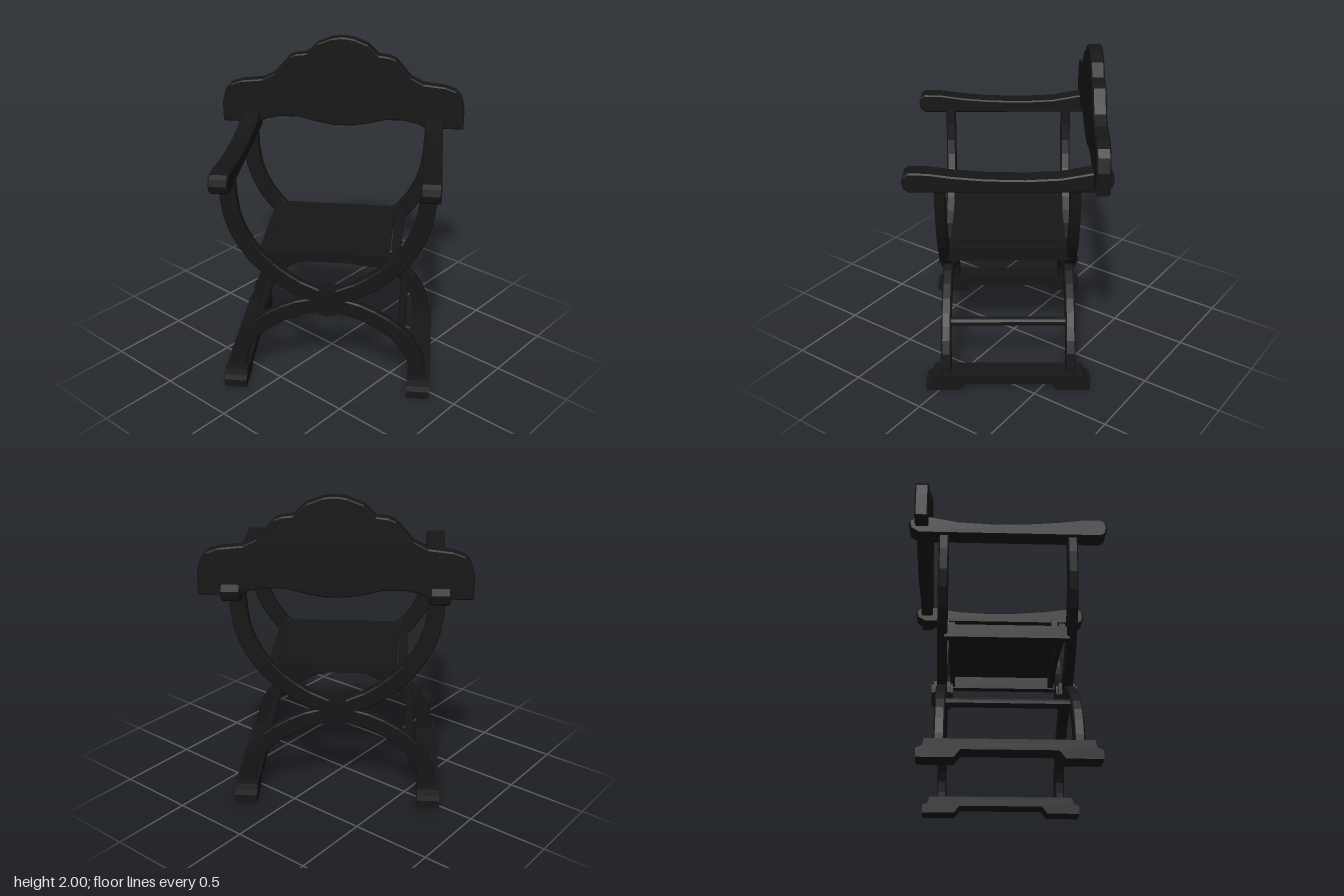
import * as THREE from 'three';

const mat = new THREE.MeshStandardMaterial({ color: 0x161616, flatShading: true });
const V2 = (p) => new THREE.Vector2(p[0], p[1]);

// Extrude an outline, centred through its thickness
function slab(points, depth, bevel = 0) {
  const g = new THREE.ExtrudeGeometry(new THREE.Shape(points.map(V2)), {
    depth: depth - 2 * bevel, bevelEnabled: bevel > 0,
    bevelSize: bevel, bevelOffset: -bevel, bevelThickness: bevel, bevelSegments: 1,
  });
  g.translate(0, 0, -depth / 2 + bevel);
  return g;
}

// Curved strip of given width that follows a centre line
function strip(points, width, steps) {
  const curve = new THREE.SplineCurve(points.map(V2));
  const a = [], b = [];
  for (let i = 0; i <= steps; i++) {
    const t = i / steps, p = curve.getPoint(t), d = curve.getTangent(t);
    const w = (width / 2) * (t > 0.9 ? 0.8 : 1);
    a.push([p.x - d.y * w, p.y + d.x * w]);
    b.unshift([p.x + d.y * w, p.y - d.x * w]);
  }
  return [...a, ...b];
}

// Mirror an outline half (from outer edge to the middle) across x = 0
const mirror = (half) => [...half, ...half.map(([x, y]) => [-x, y]).reverse()];

export function createModel() {
  const chair = new THREE.Group();
  chair.name = 'chair';
  const add = (name, geo, x = 0, y = 0, z = 0, parent = chair) => {
    const m = new THREE.Mesh(geo, mat);
    m.name = name;
    m.position.set(x, y, z);
    parent.add(m);
    return m;
  };

  // Crossed frames: upper and lower curved legs meeting at a round hub
  const upper = [[0.588, 1.39], [0.575, 1.2], [0.525, 1.04], [0.43, 0.89], [0.3, 0.77], [0.16, 0.68], [0.03, 0.635]];
  const lower = [[0.568, 0.08], [0.55, 0.22], [0.477, 0.35], [0.355, 0.46], [0.18, 0.55], [0.03, 0.585]];
  for (const end of [1, -1]) {
    const frame = new THREE.Group();
    frame.name = end > 0 ? 'frontFrame' : 'backFrame';
    frame.position.z = end * 0.382;
    chair.add(frame);
    for (const side of [1, -1]) {
      for (const [name, path] of [['upperLeg', upper], ['lowerLeg', lower]]) {
        const leg = add(name, slab(strip(path, 0.1, 10), 0.06, 0.008), 0, 0, 0, frame);
        leg.rotation.y = side > 0 ? 0 : Math.PI;
      }
    }
    add('hub', new THREE.CylinderGeometry(0.092, 0.092, 0.1, 14).rotateX(Math.PI / 2), 0, 0.61, 0, frame);
    add('hubBoss', new THREE.CylinderGeometry(0.07, 0.07, 0.13, 14).rotateX(Math.PI / 2), 0, 0.61, 0, frame);
  }

  // Foot outline: stepped ends and a recess underneath
  const foot = mirror([[0.505, 0], [0.505, 0.05], [0.47, 0.065], [0.46, 0.105]]);
  foot.push([-0.3, 0], [-0.265, 0.045], [0.265, 0.045], [0.3, 0]);

  // Armrest outline (z, y): rounded front, dipped top, upswept back
  const arm = [
    [-0.53, 1.37], [0.55, 1.37], [0.578, 1.39], [0.588, 1.43], [0.578, 1.47], [0.55, 1.488],
    [0.44, 1.485], [0.3, 1.465], [0.12, 1.45], [-0.1, 1.445], [-0.3, 1.455], [-0.46, 1.485],
    [-0.55, 1.485], [-0.592, 1.45], [-0.58, 1.4],
  ];

  for (const side of [1, -1]) {
    add('foot', slab(foot, 0.14).rotateY(-Math.PI / 2), side * 0.573);
    add('armrest', slab(arm, 0.116, 0.008).rotateY(-Math.PI / 2), side * 0.598);
    add('stretcher', new THREE.CylinderGeometry(0.027, 0.027, 0.74, 10).rotateX(Math.PI / 2), side * 0.452, 0.382, 0);
    add('seatRail', new THREE.BoxGeometry(0.055, 0.08, 0.74), side * 0.402, 0.845, 0);
  }

  // Seat panel with arched aprons at the front and back
  add('seat', new THREE.BoxGeometry(0.73, 0.03, 0.69), 0, 0.895, 0);
  const apron = mirror([[0.43, 0.805], [0.43, 0.9], [0, 0.9]]).filter((p, i) => i !== 3);
  apron.push([-0.28, 0.825], [-0.12, 0.845], [0.12, 0.845], [0.28, 0.825]);
  for (const end of [1, -1]) add('seatApron', slab(apron, 0.035), 0, 0, end * 0.325);

  // Backrest board with a stepped crest and a scalloped lower edge
  const crest = [
    [0.787, 1.415], [0.787, 1.55], [0.765, 1.63], [0.73, 1.67], [0.66, 1.695], [0.52, 1.71],
    [0.44, 1.75], [0.38, 1.82], [0.34, 1.865], [0.3, 1.882], [0.23, 1.89], [0.16, 1.957], [0.07, 1.992], [0.02, 2],
  ];
  const scallop = [[0.54, 1.415], [0.5, 1.44], [0.4, 1.462], [0.28, 1.46], [0.16, 1.43], [0.06, 1.413]];
  const board = [...mirror(crest), ...mirror(scallop).reverse()];
  add('backrest', slab(board, 0.08, 0.008), 0, 0, -0.515);

  // The chair stands turned towards its left
  chair.position.set(0.018, 0, 0.037);
  const model = new THREE.Group();
  model.name = 'foldingArmchair';
  model.add(chair);
  model.rotation.y = 0.612;
  const root = new THREE.Group();
  root.add(model);
  return root;
}
